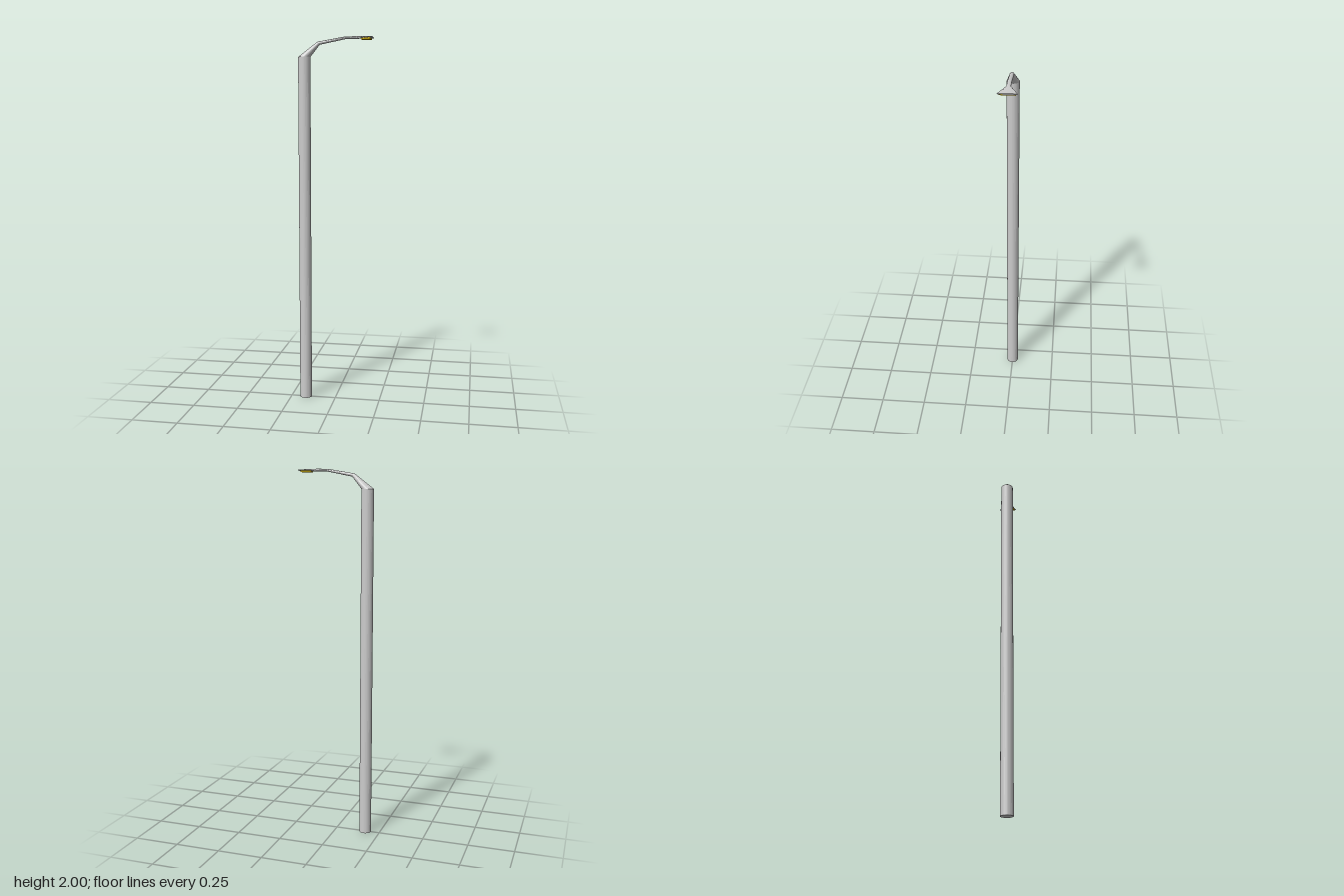
import * as THREE from 'three';

const SIDES = 32;
const POLE_X = -0.168, POLE_R = 0.033, POLE_TOP = 1.895;

// Skin a row of elliptical sections: centre (x, y), up vector (ux, uy), half width w along z
function loft(sections) {
  const pos = [], idx = [];
  for (const { x, y, ux, uy, w } of sections) {
    for (let j = 0; j < SIDES; j++) {
      const a = (j / SIDES) * Math.PI * 2;
      pos.push(x + ux * Math.cos(a), y + uy * Math.cos(a), w * Math.sin(a));
    }
  }
  for (let i = 0; i < sections.length - 1; i++) {
    for (let j = 0; j < SIDES; j++) {
      const k = (j + 1) % SIDES, p = i * SIDES, q = p + SIDES;
      idx.push(p + j, p + k, q + j, p + k, q + k, q + j);
    }
  }
  // End cap
  const last = (sections.length - 1) * SIDES;
  for (let j = 1; j < SIDES - 1; j++) idx.push(last, last + j, last + j + 1);
  const g = new THREE.BufferGeometry();
  g.setAttribute('position', new THREE.Float32BufferAttribute(pos, 3));
  g.setIndex(idx);
  g.computeVertexNormals();
  return g;
}

export function createModel() {
  const group = new THREE.Group();
  const grey = new THREE.MeshStandardMaterial({ color: 0xcccccc, flatShading: true });
  const yellow = new THREE.MeshStandardMaterial({ color: 0xffd800, flatShading: true });
  const add = (name, geometry, material) => {
    const mesh = new THREE.Mesh(geometry, material);
    mesh.name = name;
    group.add(mesh);
    return mesh;
  };

  // Upright pole
  add('pole', new THREE.CylinderGeometry(POLE_R, POLE_R, POLE_TOP, SIDES), grey)
    .position.set(POLE_X, POLE_TOP / 2, 0);

  // Arm: tapers from the pole, bends over and flares into a flat lamp head
  add('armAndHead', loft([
    { x: POLE_X, y: POLE_TOP, ux: -POLE_R, uy: 0, w: POLE_R },
    { x: -0.09, y: 1.966, ux: -0.006, uy: 0.008, w: 0.011 },
    { x: 0.053, y: 1.992, ux: -0.001, uy: 0.007, w: 0.011 },
    { x: 0.115, y: 1.993, ux: 0, uy: 0.007, w: 0.011 },
    { x: 0.2, y: 1.993, ux: 0, uy: 0.004, w: 0.05 },
  ]), grey);

  // Light panel under the head
  const panel = new THREE.Shape([
    new THREE.Vector2(0.14, -0.017), new THREE.Vector2(0.19, -0.04),
    new THREE.Vector2(0.19, 0.04), new THREE.Vector2(0.14, 0.017),
  ]);
  const panelGeometry = new THREE.ExtrudeGeometry(panel, { depth: 0.01, bevelEnabled: false });
  panelGeometry.rotateX(Math.PI / 2);
  add('lightPanel', panelGeometry, yellow).position.y = 1.992;

  return group;
}
